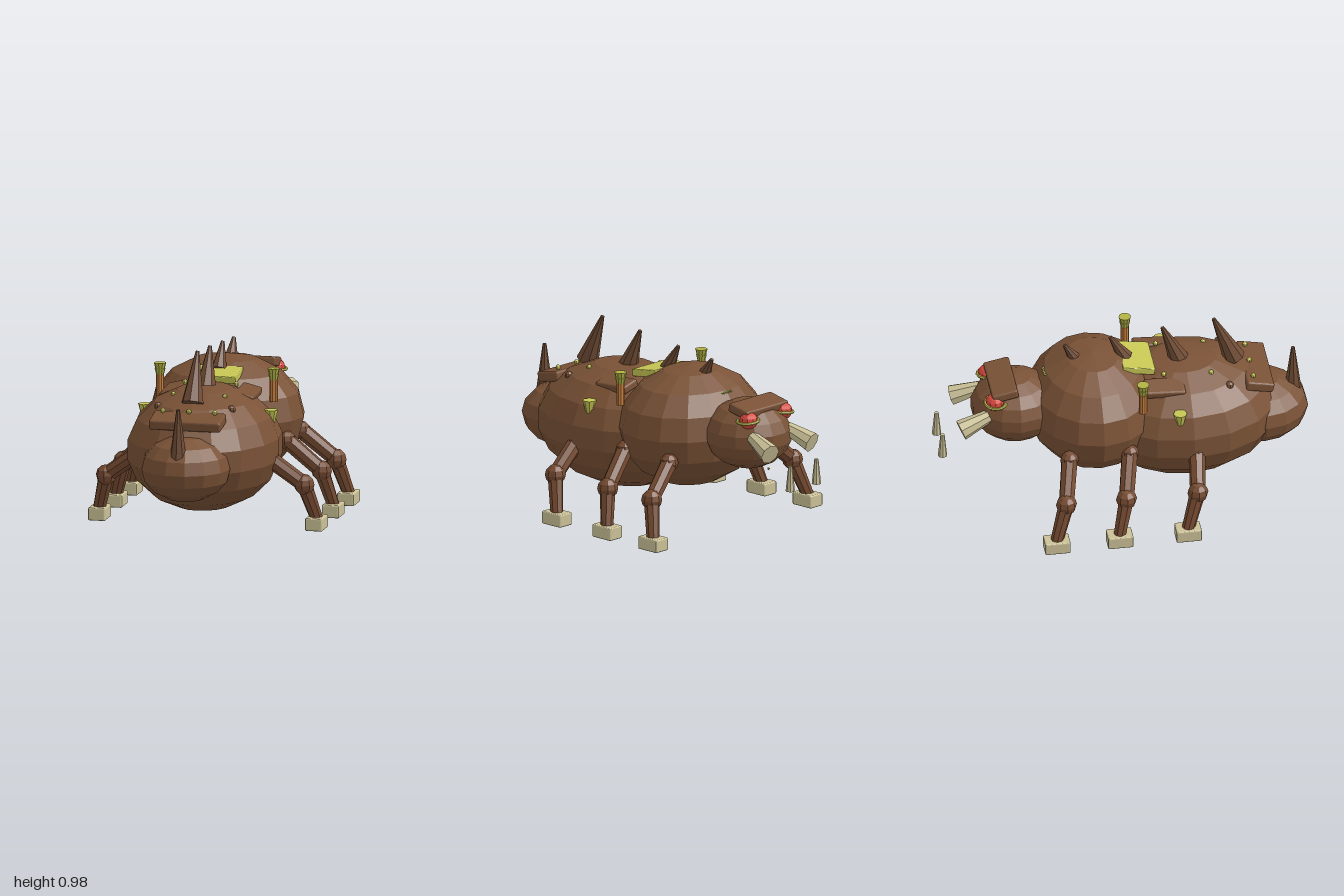
import * as THREE from 'three';
import { RoundedBoxGeometry } from 'three/addons/geometries/RoundedBoxGeometry.js';

const mat = (name, color, flatShading = true) => {
  const m = new THREE.MeshStandardMaterial({ color, flatShading });
  m.name = name;
  return m;
};

export function createModel() {
  const shell = mat('shellBrown', 0x7a5236);
  const horn = mat('hornBrown', 0x704c35);
  const limb = mat('limbBrown', 0x754a30);
  const bone = mat('bone', 0xcbc197);
  const yellow = mat('yellow', 0xc6c655);
  const olive = mat('olive', 0xb3b345);
  const orange = mat('orange', 0xc9803f);
  const red = mat('eyeRed', 0xd8483c);

  const model = new THREE.Group();
  model.name = 'beetle';
  const V = (p) => new THREE.Vector3(...p);

  const add = (name, geometry, material, p = [0, 0, 0], r = [0, 0, 0]) => {
    const mesh = new THREE.Mesh(geometry, material);
    mesh.name = name;
    mesh.position.set(...p);
    mesh.rotation.set(...r);
    model.add(mesh);
    return mesh;
  };
  const ball = (name, material, p, radii, w = 10, h = 7) =>
    add(name, new THREE.SphereGeometry(1, w, h).scale(...radii), material, p);
  const dot = (name, material, p, r) => ball(name, material, p, [r, r, r], 8, 6);
  const box = (name, material, p, size, r, round = 0.012) =>
    add(name, new RoundedBoxGeometry(...size, 2, round), material, p, r);
  // Tapered rod from a to b
  const rod = (name, material, a, b, ra, rb, sides = 8) => {
    const from = V(a), dir = V(b).sub(from);
    const mesh = add(name, new THREE.CylinderGeometry(rb, ra, dir.length(), sides), material);
    mesh.position.copy(from).addScaledVector(dir, 0.5);
    mesh.quaternion.setFromUnitVectors(new THREE.Vector3(0, 1, 0), dir.normalize());
    return mesh;
  };

  // Body segments; the head points to -z
  ball('abdomen', shell, [0, 0.435, 0.33], [0.41, 0.335, 0.52], 16, 9);
  ball('tail', shell, [0, 0.4, 0.745], [0.24, 0.18, 0.255], 14, 8);
  ball('thorax', shell, [0, 0.52, -0.155], [0.42, 0.325, 0.36], 16, 8);
  ball('head', shell, [0, 0.55, -0.57], [0.23, 0.187, 0.24], 14, 9);

  // Armour plates
  box('browPlate', shell, [0, 0.71, -0.645], [0.32, 0.05, 0.14], [-0.2, 0, 0]);
  box('rearPlate', shell, [0, 0.642, 0.715], [0.39, 0.055, 0.15], [0.2, 0, 0]);
  box('yellowSaddle', yellow, [0, 0.773, 0.075], [0.25, 0.04, 0.175], [0.15, 0, 0], 0.006);

  // Spikes along the back: base, tip, base radius
  [
    [[0, 0.48, 0.92], [0, 0.745, 0.92], 0.046],
    [[0, 0.72, 0.605], [0, 0.98, 0.495], 0.06],
    [[0, 0.74, 0.31], [0, 0.955, 0.22], 0.056],
    [[0, 0.79, 0.02], [0, 0.925, -0.06], 0.042],
    [[0, 0.81, -0.25], [0, 0.9, -0.305], 0.035],
  ].forEach(([a, b, r]) => rod('backSpike', horn, a, b, r, 0.01, 8));

  dot('rearCentreStud', yellow, [0, 0.69, 0.685], 0.014);
  dot('chinStud', olive, [0, 0.38, -0.72], 0.007);

  // Small wavy mark on the thorax
  const wave = [];
  for (let i = 0; i <= 6; i++) wave.push(V([(i - 3) * 0.012, 0.742, -0.415 + (i % 2 ? -0.006 : 0.006)]));
  add('thoraxMark', new THREE.TubeGeometry(new THREE.CatmullRomCurve3(wave), 24, 0.005, 5), yellow);

  for (const s of [1, -1]) {
    // Eyes with rings
    ball('eye', red, [s * 0.132, 0.668, -0.7], [0.05, 0.047, 0.05], 10, 8);
    add('eyeRing', new THREE.TorusGeometry(0.057, 0.008, 6, 16).rotateX(Math.PI / 2), yellow,
      [s * 0.132, 0.666, -0.695], [0, 0, -s * 0.1]);

    // Mandibles and hanging fangs
    rod('mandible', bone, [s * 0.132, 0.58, -0.73], [s * 0.16, 0.523, -0.885], 0.035, 0.056, 8);
    rod('fang', bone, [s * 0.1, 0.327, -0.975], [s * 0.1, 0.463, -0.975], 0.025, 0.011, 8);

    // Shoulder plates, bumps and studs
    box('sidePlate', shell, [s * 0.2, 0.705, 0.2], [0.11, 0.045, 0.215], [0.06, 0, -s * 0.25]);
    dot('shellBump', shell, [s * 0.2, 0.685, 0.55], 0.022);
    dot('stud', yellow, [s * 0.14, 0.752, 0.205], 0.014);
    dot('stud', yellow, [s * 0.14, 0.735, 0.46], 0.014);
    dot('stud', yellow, [s * 0.142, 0.69, 0.685], 0.014);

    // Side pods
    rod('sidePod', yellow, [s * 0.345, 0.565, 0.262], [s * 0.345, 0.635, 0.262], 0.018, 0.037, 8);

    // Upright vents with flared caps
    rod('ventStem', orange, [s * 0.31, 0.64, 0.068], [s * 0.31, 0.757, 0.068], 0.022, 0.022, 10);
    rod('ventCollar', olive, [s * 0.31, 0.755, 0.068], [s * 0.31, 0.79, 0.068], 0.02, 0.029, 10);
    rod('ventCap', olive, [s * 0.31, 0.785, 0.068], [s * 0.31, 0.82, 0.068], 0.024, 0.033, 10);

    // Legs: z of hip, knee and foot, then hip height
    [
      [-0.335, -0.38, -0.44, 0.41],
      [-0.012, -0.058, -0.103, 0.42],
      [0.348, 0.325, 0.264, 0.385],
    ].forEach(([hz, kz, fz, hy]) => {
      const hip = [s * 0.36, hy, hz], knee = [s * 0.54, 0.253, kz], ankle = [s * 0.593, 0.06, fz];
      dot('hip', limb, hip, 0.05);
      rod('thigh', limb, hip, knee, 0.045, 0.042);
      dot('knee', limb, knee, 0.056);
      rod('shin', limb, knee, ankle, 0.042, 0.034);
      box('foot', bone, [s * 0.592, 0.037, fz], [0.094, 0.07, 0.136], [0, 0, 0], 0.008);
    });
  }
  return model;
}
